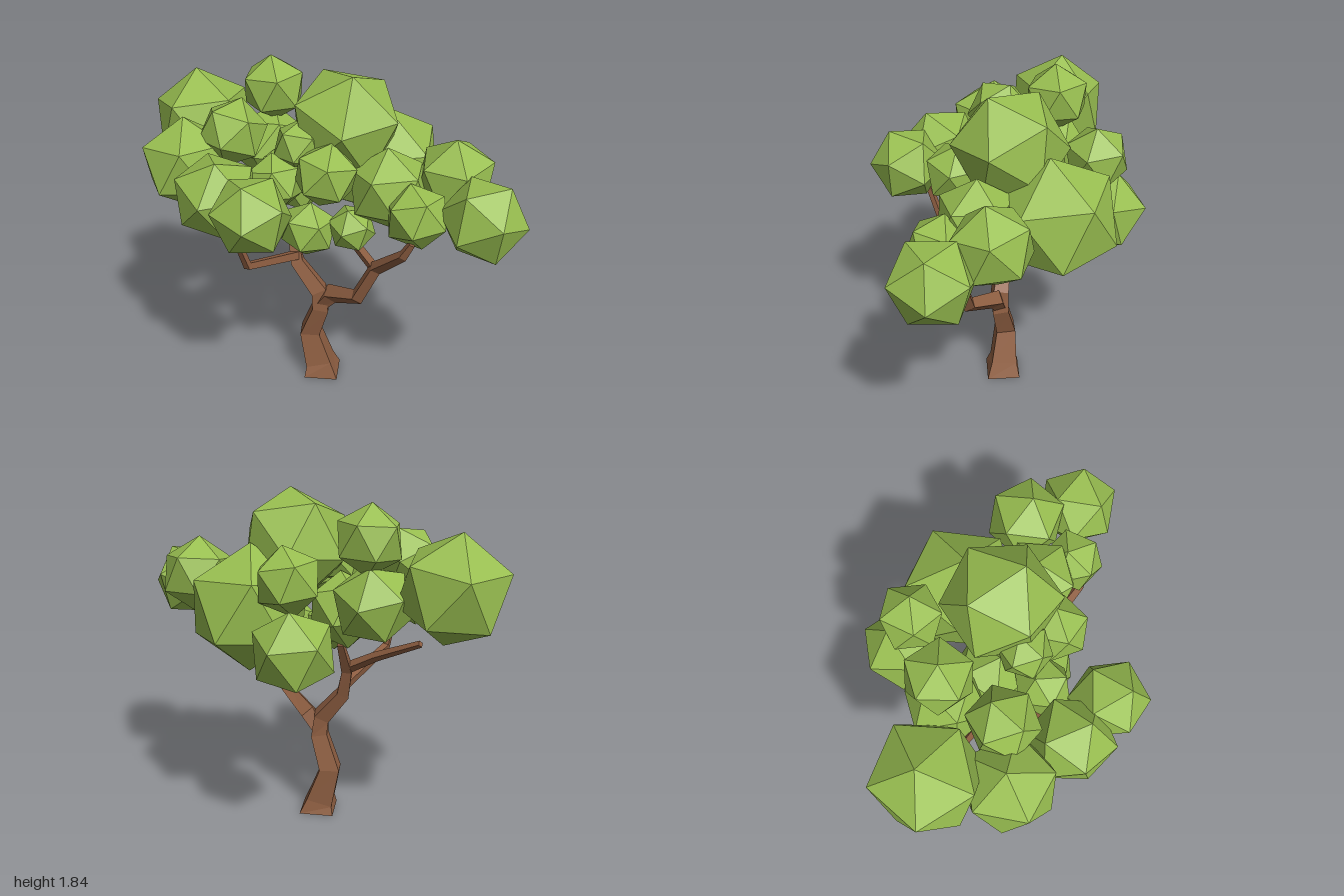
import * as THREE from 'three';

const V = (a) => new THREE.Vector3(a[0], a[1], a[2]);

// Square-section limb along points [x, y, z, halfWidth], faceted, with closed ends
function limbGeometry(points) {
  const centres = points.map(V);
  const u = new THREE.Vector3(1, 0, 0);
  const rings = centres.map((c, i) => {
    const t = centres[Math.min(i + 1, centres.length - 1)].clone()
      .sub(centres[Math.max(i - 1, 0)]).normalize();
    if (i === 0 && points[0][1] === 0) t.set(0, 1, 0); // flat foot on the ground
    u.addScaledVector(t, -u.dot(t)).normalize();
    const v = t.clone().cross(u);
    const h = points[i][3];
    return [[1, -1], [1, 1], [-1, 1], [-1, -1]].map(([a, b]) =>
      c.clone().addScaledVector(u, a * h).addScaledVector(v, b * h));
  });
  const tris = [];
  const quad = (a, b, c, d) => tris.push(a, b, c, a, c, d);
  for (let i = 0; i < rings.length - 1; i++) {
    for (let k = 0; k < 4; k++) {
      const n = (k + 1) % 4;
      quad(rings[i][k], rings[i][n], rings[i + 1][n], rings[i + 1][k]);
    }
  }
  const first = rings[0], last = rings[rings.length - 1];
  quad(first[3], first[2], first[1], first[0]);
  quad(last[0], last[1], last[2], last[3]);
  const g = new THREE.BufferGeometry().setFromPoints(tris);
  g.computeVertexNormals();
  return g;
}

// Turn that points one corner of a clump along pole and a neighbouring corner towards side
function aim(mesh, pole, side) {
  const y = V(pole).normalize();
  const x = V(side).negate();
  x.addScaledVector(y, -x.dot(y)).normalize();
  mesh.quaternion.setFromRotationMatrix(new THREE.Matrix4().makeBasis(x, y, x.clone().cross(y)));
}

export function createModel() {
  const tree = new THREE.Group();
  tree.name = 'tree';
  const bark = new THREE.MeshStandardMaterial({ color: 0x8f5f42 });
  bark.name = 'bark brown';
  const leaf = new THREE.MeshStandardMaterial({ color: 0x98be50 });
  leaf.name = 'leaf green';

  // Trunk running on into the right-hand limb, then the side branches
  const limbs = {
    trunk: [[-0.04, 0, 0.02, 0.095], [-0.055, 0.07, 0.015, 0.073], [-0.11, 0.27, 0.0, 0.055],
      [-0.045, 0.46, 0.035, 0.045], [-0.055, 0.57, 0.035, 0.043], [-0.18, 0.73, 0.0, 0.034],
      [-0.205, 0.88, -0.04, 0.027], [-0.18, 1.06, -0.14, 0.016]],
    leftBranch: [[-0.05, 0.47, 0.035, 0.03], [0.02, 0.57, 0.065, 0.04], [0.175, 0.66, 0.22, 0.031],
      [0.27, 0.87, 0.26, 0.027], [0.41, 1.04, 0.41, 0.02], [0.45, 1.12, 0.43, 0.014]],
    leftInnerBranch: [[0.27, 0.86, 0.26, 0.02], [0.07, 0.92, -0.06, 0.018], [0.03, 1.01, 0.03, 0.012]],
    rightFrontBranch: [[-0.18, 0.77, 0.0, 0.022], [-0.385, 0.9, 0.36, 0.018], [-0.43, 1.12, 0.43, 0.013]],
    rightBackBranch: [[-0.2, 0.89, -0.04, 0.023], [-0.36, 0.99, -0.12, 0.019], [-0.6, 1.12, -0.27, 0.013]],
  };
  for (const [name, points] of Object.entries(limbs)) {
    const mesh = new THREE.Mesh(limbGeometry(points), bark);
    mesh.name = name;
    tree.add(mesh);
  }

  // Foliage clumps: x, y, z, radius, and for the outer ones the pole and side directions
  const clumps = [
    [-0.745, 1.42, -0.35, 0.29, [-0.035, 0.29, -0.03], [-0.24, 0, -0.97]],
    [-0.755, 1.32, 0.03, 0.25],
    [-0.505, 1.49, 0.0, 0.185],
    [-0.53, 1.28, 0.33, 0.227],
    [-0.32, 1.28, 0.52, 0.208, [-0.02, 0, 1], [-0.1, 1, 0]],
    [0.0, 1.13, -0.53, 0.222, [0.085, 0.045, -0.2], [0, 0.21, -0.04]],
    [0.035, 1.46, -0.46, 0.177],
    [0.08, 1.56, -0.015, 0.305, [0.03, 0.08, 1], [0.15, 1, 0]],
    [0.28, 1.26, -0.23, 0.333, [0, 1, 0.12], [0.84, 0, -0.54]],
    [-0.335, 1.64, -0.295, 0.182, [-0.05, 1, 0.05], [1, 0, 0]],
    [-0.36, 1.32, -0.28, 0.215],
    [0.785, 1.25, 0.39, 0.22, [0.97, -0.1, 0.13], [0, 1, 0.05]],
    [0.65, 1.345, 0.11, 0.213, [-0.02, 1, 0.15], [1, 0, 0.05]],
    [0.465, 1.235, 0.36, 0.168],
    [0.32, 1.29, 0.17, 0.219],
    [0.01, 1.39, 0.26, 0.17],
    [-0.085, 1.06, 0.22, 0.152],
    [0.14, 1.08, 0.22, 0.128],
    [-0.26, 1.3, 0.19, 0.155],
    [-0.14, 1.47, 0.1, 0.144],
    [-0.19, 1.23, -0.08, 0.206],
  ];
  const foliage = new THREE.Group();
  foliage.name = 'foliage';
  // Icosahedron turned so that a corner points up
  const clump = new THREE.IcosahedronGeometry(1, 0).rotateZ(Math.atan(2 / (1 + Math.sqrt(5))));
  clumps.forEach(([x, y, z, r, pole, side], i) => {
    const mesh = new THREE.Mesh(clump, leaf);
    mesh.name = 'leafClump' + (i + 1);
    mesh.position.set(x, y, z);
    mesh.scale.setScalar(r);
    if (pole) aim(mesh, pole, side);
    else mesh.rotation.set(0.25 * Math.sin(i * 2.3), i * 1.7, 0.25 * Math.cos(i * 3.1));
    foliage.add(mesh);
  });
  tree.add(foliage);
  return tree;
}
